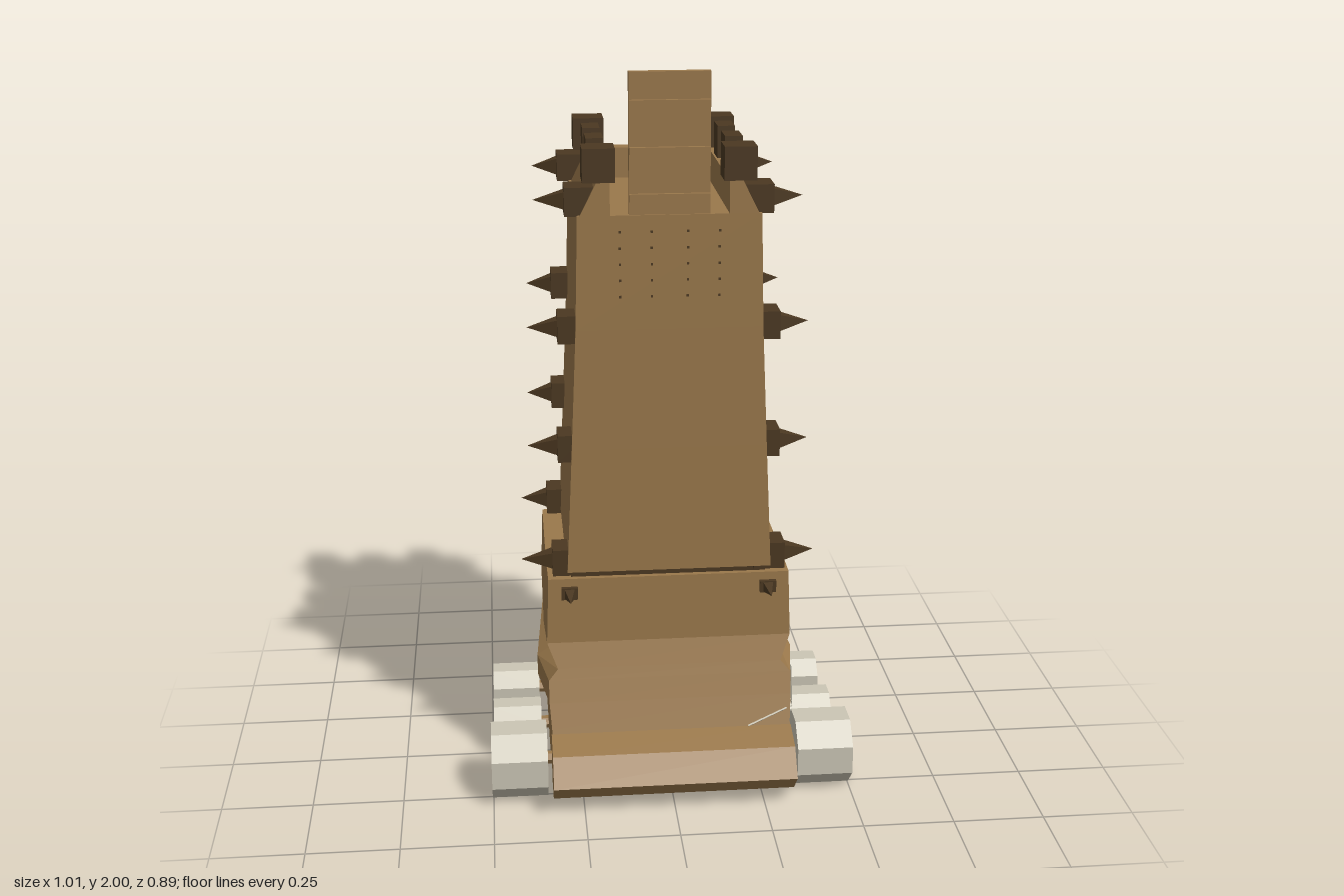
import * as THREE from 'three';

const mat = (name, color) => {
  const m = new THREE.MeshStandardMaterial({ color, flatShading: true });
  m.name = name;
  return m;
};

export function createModel() {
  const wood = mat('wood', 0x9a784b);
  const dark = mat('dark wood', 0x4b3821);
  const pale = mat('pale wheel', 0xcbc6b5);
  const root = new THREE.Group();

  const add = (name, geo, material, x = 0, y = 0, z = 0) => {
    const m = new THREE.Mesh(geo, material);
    m.name = name;
    m.position.set(x, y, z);
    root.add(m);
    return m;
  };
  const box = (name, material, w, h, d, x, y, z) =>
    add(name, new THREE.BoxGeometry(w, h, d), material, x, y, z);

  // Skin between stacked rings (counterclockwise from above), with end caps
  const loft = (rings) => {
    const n = rings[0].length, pos = [], idx = [];
    rings.forEach(r => r.forEach(p => pos.push(...p)));
    for (let k = 0; k < rings.length - 1; k++) {
      for (let i = 0; i < n; i++) {
        const a = k * n + i, b = k * n + (i + 1) % n;
        idx.push(a, b, b + n, a, b + n, a + n);
      }
    }
    const top = (rings.length - 1) * n;
    for (let i = 1; i < n - 1; i++) idx.push(0, i + 1, i, top, top + i, top + i + 1);
    const g = new THREE.BufferGeometry();
    g.setAttribute('position', new THREE.Float32BufferAttribute(pos, 3));
    g.setIndex(idx);
    const out = g.toNonIndexed();
    out.computeVertexNormals();
    return out;
  };
  const rect = (y, x, zf, zb) => [[x, y, zf], [x, y, zb], [-x, y, zb], [-x, y, zf]];
  const hex = (y, x, xm, zf, zb) =>
    [[x, y, zf], [xm, y, 0.03], [x, y, zb], [-x, y, zb], [-xm, y, 0.03], [-x, y, zf]];

  // Armoured base with a folded flank
  add('base', loft([
    hex(0.05, 0.333, 0.335, 0.30, -0.37),
    hex(0.20, 0.333, 0.34, 0.245, -0.37),
    hex(0.27, 0.338, 0.365, 0.22, -0.365),
    hex(0.33, 0.338, 0.365, 0.20, -0.365),
    hex(0.36, 0.312, 0.32, 0.19, -0.365),
    hex(0.43, 0.34, 0.345, 0.168, -0.365),
    hex(0.62, 0.333, 0.335, 0.165, -0.365),
  ]), wood);

  // Ram bumper across the front
  const ram = new THREE.Shape([[0.22, 0.04], [0.33, 0.035], [0.39, 0.095], [0.335, 0.165], [0.25, 0.19]]
    .map(([z, y]) => new THREE.Vector2(-z, y)));
  add('frontBumper', new THREE.ExtrudeGeometry(ram, { depth: 0.67, bevelEnabled: false }), wood, -0.335)
    .rotation.y = Math.PI / 2;

  // Tapered tower shaft on a narrow neck
  add('neck', loft([rect(0.61, 0.27, 0.15, -0.365), rect(0.66, 0.27, 0.15, -0.365)]), dark);
  add('tower', loft([
    rect(0.645, 0.28, 0.18, -0.372),
    rect(1.0, 0.263, 0.18, -0.372),
    rect(1.33, 0.248, 0.18, -0.372),
    rect(1.635, 0.24, 0.18, -0.372),
  ]), wood);

  // Rear buttress and corner boards
  add('rearButtress', loft([
    rect(0.06, 0.06, -0.33, -0.447),
    rect(0.65, 0.058, -0.33, -0.382),
    rect(1.70, 0.055, -0.33, -0.379),
  ]), wood);
  for (const s of [-1, 1]) {
    const board = (y, x, z) => rect(y, 0.05, -0.33, z).map(([a, b, c]) => [a + s * x, b, c]);
    add('rearBoard', loft([board(0.06, 0.24, -0.385), board(0.65, 0.22, -0.378), board(1.66, 0.18, -0.378)]), wood);
  }

  // Parapet: sloped side rails and a back wall
  for (const s of [-1, 1]) {
    const rail = new THREE.Shape([[0.24, 1.62], [0.19, 1.72], [0.155, 1.72], [0.155, 1.62]]
      .map(([x, y]) => new THREE.Vector2(s * x, y)));
    add('sideRail', new THREE.ExtrudeGeometry(rail, { depth: 0.55, bevelEnabled: false }), wood, 0, 0, -0.37);
  }
  box('backParapet', wood, 0.36, 0.1, 0.05, 0, 1.67, -0.345);

  // Battlement blocks
  for (const s of [-1, 1]) {
    for (const z of [0.138, -0.018, -0.178, -0.337]) {
      const corner = z > 0.1 || z < -0.3;
      box('battlement', dark, corner ? 0.085 : 0.047, 0.088, 0.084, s * (corner ? 0.183 : 0.184), 1.764, z);
    }
  }
  box('battlement', dark, 0.084, 0.088, 0.047, 0, 1.764, -0.335);

  // Raised boarding plank with battens
  box('boardingPlank', wood, 0.21, 0.37, 0.022, 0, 1.815, 0.164);
  for (const y of [1.68, 1.80, 1.92]) box('plankBatten', wood, 0.208, 0.02, 0.012, 0, y, 0.18);

  // Corner blocks with spikes
  const levels = [[0.67, 0.32, 0.405], [1.0, 0.30, 0.38], [1.33, 0.295, 0.375], [1.67, 0.272, 0.352]];
  for (const s of [-1, 1]) {
    for (const [y, outer, tip] of levels) {
      for (const z of [0.13, -0.338]) {
        box('cornerBlock', dark, 0.085, 0.075, 0.082, s * (outer - 0.0425), y, z);
        if (z < 0 && s > 0 && y < 1.2) continue;
        const len = (z < 0 ? tip - 0.01 : tip) - outer;
        const geo = new THREE.ConeGeometry(0.032, len, 4);
        geo.rotateY(Math.PI / 4);
        add('sideSpike', geo, dark, s * (outer + len / 2), y, z).rotation.z = -s * Math.PI / 2;
      }
    }
    // Small front spikes on the base
    box('frontStud', dark, 0.045, 0.034, 0.02, s * 0.275, 0.58, 0.168);
    const f = new THREE.ConeGeometry(0.02, 0.065, 4);
    f.rotateY(Math.PI / 4);
    add('frontSpike', f, dark, s * 0.275, 0.58, 0.208).rotation.x = Math.PI / 2;
  }

  // Rear rungs
  for (const y of [0.67, 1.0, 1.33]) {
    box('rearRung', dark, 0.09, 0.035, 0.06, 0, y, -0.395);
  }

  // Rows of nail heads on the front
  for (const x of [-0.13, -0.047, 0.047, 0.13])
    for (let i = 0; i < 5; i++) box('nail', dark, 0.006, 0.006, 0.004, x, 1.42 + i * 0.043, 0.181);

  // Octagonal wheels on axles
  for (const [z, half, x0, x1] of [[0.215, 0.097, 0.348, 0.503], [-0.05, 0.068, 0.357, 0.495], [-0.282, 0.068, 0.357, 0.495]]) {
    for (const s of [-1, 1]) {
      const r = half / Math.cos(Math.PI / 8);
      const g = new THREE.CylinderGeometry(r, r, x1 - x0, 8);
      g.rotateY(Math.PI / 8);
      add('wheel', g, pale, s * (x0 + x1) / 2, half + 0.004, z).rotation.z = Math.PI / 2;
    }
    add('axle', new THREE.CylinderGeometry(0.018, 0.018, 0.72, 6), wood, 0, half + 0.004, z).rotation.z = Math.PI / 2;
  }

  // Thin pole leaning off the flank, with a pale sliver behind it
  const pole = new THREE.LineCurve3(new THREE.Vector3(0.185, 0.295, 0.445), new THREE.Vector3(0.345, 0.222, 0.2));
  add('pole', new THREE.TubeGeometry(pole, 1, 0.003, 4), pale);
  add('poleBlade', loft([
    [[0.346, 0.225, 0.2], [0.362, 0.235, 0.05], [0.35, 0.262, -0.25], [0.33, 0.25, 0]],
    [[0.346, 0.23, 0.2], [0.368, 0.268, 0.05], [0.352, 0.266, -0.25], [0.33, 0.26, 0]],
  ]), pale);

  return root;
}
